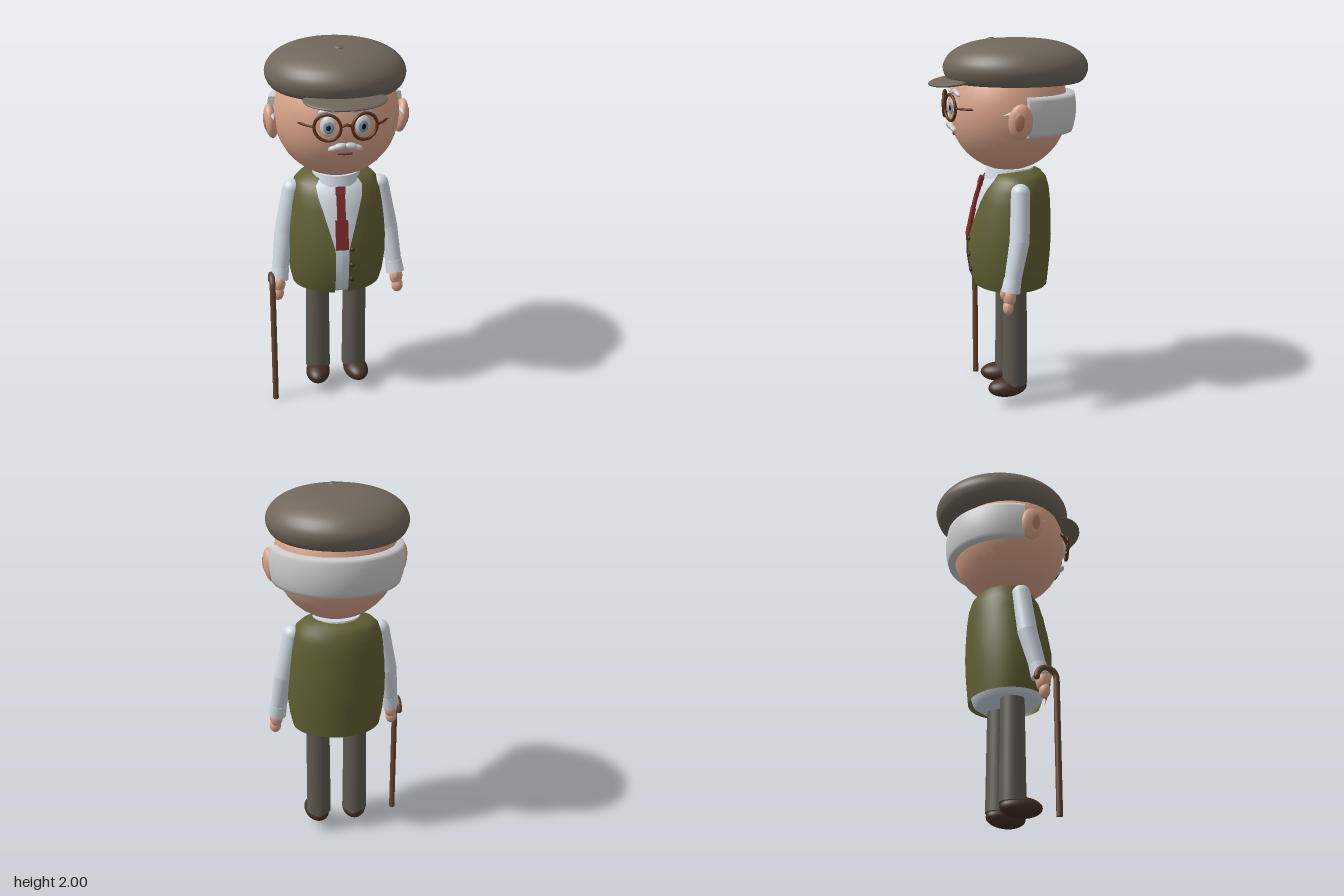
import * as THREE from 'three';

const V = (x, y, z) => new THREE.Vector3(x, y, z);
const mat = (color, side = THREE.FrontSide) =>
  new THREE.MeshStandardMaterial({ color, side });

const skin = mat(0xd9a38a), skinDark = mat(0xb97f68), capCloth = mat(0x70665a);
const hairGrey = mat(0xbcbcbc, THREE.DoubleSide), shirtWhite = mat(0xcfd8e2);
const vestGreen = mat(0x615f33, THREE.DoubleSide), trouserGrey = mat(0x5d594f);
const leather = mat(0x412e23), wood = mat(0x65452f), tieRed = mat(0x7c2b28);
const frameBrown = mat(0x5a3118), eyeWhite = mat(0xf0f0f0), irisBlue = mat(0x8799a8);
const black = mat(0x151515), mouthBrown = mat(0x6e3a2c);

// torso sections: y, half width, front z, back z, half width of the vest opening
const TORSO = [
  [0.685, 0.24, 0.19, -0.21, 0.035],
  [0.75, 0.255, 0.213, -0.216, 0.035],
  [0.85, 0.267, 0.227, -0.225, 0.035],
  [0.95, 0.268, 0.227, -0.23, 0.037],
  [1.05, 0.262, 0.208, -0.228, 0.065],
  [1.15, 0.251, 0.185, -0.223, 0.094],
  [1.22, 0.24, 0.163, -0.215, 0.115],
  [1.27, 0.22, 0.13, -0.2, 0.122],
  [1.3, 0.19, 0.095, -0.175, 0.1],
  [1.315, 0.12, 0.06, -0.13, 0.08],
];

export function createModel() {
  const model = new THREE.Group();

  const add = (name, geometry, material, pos = [0, 0, 0], rot = [0, 0, 0], scale = [1, 1, 1]) => {
    const m = new THREE.Mesh(geometry, material);
    m.name = name;
    m.position.set(...pos);
    m.rotation.set(...rot);
    m.scale.set(...scale);
    model.add(m);
    return m;
  };
  const ball = new THREE.SphereGeometry(1, 32, 20);
  const blob = (name, material, pos, radii, rot) => add(name, ball, material, pos, rot, radii);
  const tube = (name, material, points, r) =>
    add(name, new THREE.TubeGeometry(new THREE.CatmullRomCurve3(points), 24, r, 10), material);
  // tapered round limb between two points
  const limb = (name, material, a, b, ra, rb) => {
    const m = add(name, new THREE.CylinderGeometry(rb, ra, a.distanceTo(b), 24), material);
    m.position.copy(a).lerp(b, 0.5);
    m.quaternion.setFromUnitVectors(V(0, 1, 0), b.clone().sub(a).normalize());
  };

  // head and cap
  blob('head', skin, [0, 1.637, 0], [0.325, 0.33, 0.315]);
  const capProfile = [[0, 1.77], [0.26, 1.77], [0.325, 1.772], [0.352, 1.79], [0.367, 1.82], [0.372, 1.85],
    [0.362, 1.885], [0.33, 1.925], [0.27, 1.96], [0.19, 1.983], [0.1, 1.993], [0, 1.996]];
  const capCurve = new THREE.SplineCurve(capProfile.map(p => new THREE.Vector2(...p)));
  const capPoints = capCurve.getPoints(44).map(p => p.setX(Math.max(0, p.x)));
  add('cap', new THREE.LatheGeometry(capPoints, 56), capCloth, [0, 0, -0.04], [0, 0, 0], [0.975, 1, 1.02]);
  blob('capBrim', capCloth, [0, 1.782, 0.29], [0.208, 0.02, 0.13], [0.14, 0, 0]);
  blob('capButton', capCloth, [0, 1.989, 0.09], [0.024, 0.011, 0.024]);

  // band of hair round the back of the head, with flat ends
  const band = [];
  for (let i = 0; i <= 10; i++) {
    const y = -0.115 + 0.2 * i / 10;
    band.push(new THREE.Vector2(Math.sqrt(0.357 ** 2 - y * y), y));
  }
  band.push(new THREE.Vector2(0.3, 0.085));
  const start = Math.PI * 0.53, length = Math.PI * 0.94;
  add('hairBand', new THREE.LatheGeometry([new THREE.Vector2(0.3, -0.115), ...band], 40, start, length),
    hairGrey, [0, 1.637, 0]);
  const endShape = new THREE.Shape([new THREE.Vector2(0.3, -0.115), ...band]);
  for (const a of [start, start + length])
    add('hairEnd', new THREE.ShapeGeometry(endShape), hairGrey, [0, 1.637, 0], [0, a - Math.PI / 2, 0]);

  // shirt and vest from the torso sections
  const loft = (rows, open) => {
    const n = 48, pos = [], index = [];
    rows.forEach(([y, rx, zf, zb, w], r) => {
      const gap = open ? Math.asin(w / rx) : 0;
      for (let i = 0; i <= n; i++) {
        const a = gap + (2 * Math.PI - 2 * gap) * i / n;
        pos.push(rx * Math.sin(a), y, (zf + zb) / 2 + (zf - zb) / 2 * Math.cos(a));
        if (r && i < n) {
          const p = (r - 1) * (n + 1) + i, q = p + n + 1;
          index.push(p, p + 1, q, p + 1, q + 1, q);
        }
      }
    });
    const g = new THREE.BufferGeometry();
    g.setAttribute('position', new THREE.Float32BufferAttribute(pos, 3));
    g.setIndex(index);
    g.computeVertexNormals();
    return g;
  };
  const shirtRows = TORSO.map(([y, rx, zf, zb]) => [y, rx * 0.94, zf - 0.012, zb + 0.012]);
  shirtRows[0] = [0.69, 0.21, 0.165, -0.185];
  add('shirt', loft([[0.668, 0.001, 0, -0.001], [0.67, 0.18, 0.14, -0.16], ...shirtRows], false), shirtWhite);
  add('vest', loft(TORSO, true), vestGreen);
  add('collar', new THREE.CylinderGeometry(0.125, 0.137, 0.055, 40), shirtWhite, [0, 1.295, -0.01]);
  [0.95, 0.86, 0.775].forEach((y, i) =>
    blob('vestButton', leather, [0.052, y, [0.224, 0.225, 0.216][i]], [0.013, 0.013, 0.01]));

  // tie: knot and two straight lengths lying on the shirt
  const tieStrip = (name, y0, z0, y1, z1, width) => add(name,
    new THREE.BoxGeometry(width, Math.hypot(y1 - y0, z1 - z0), 0.018), tieRed,
    [0, (y0 + y1) / 2, (z0 + z1) / 2], [Math.atan2(z0 - z1, y0 - y1) * -1 + 0, 0, 0])
    .rotation.set(-Math.atan2(z1 - z0, y0 - y1), 0, 0);
  tieStrip('tieKnot', 1.275, 0.14, 1.235, 0.156, 0.05);
  tieStrip('tieUpper', 1.25, 0.148, 1.09, 0.192, 0.044);
  tieStrip('tieLower', 1.105, 0.188, 0.95, 0.222, 0.066);

  // mirrored parts
  for (const s of [-1, 1]) {
    blob('ear', skin, [s * 0.34, 1.605, 0.008], [0.036, 0.09, 0.063], [0, 0, -s * 0.12]);
    blob('innerEar', skinDark, [s * 0.369, 1.605, 0.018], [0.01, 0.045, 0.028], [0, 0, -s * 0.12]);
    add('sideburn', new THREE.ConeGeometry(0.027, 0.1, 16), hairGrey,
      [s * 0.333, 1.645, 0.05], [Math.PI / 2 + 0.15, 0, 0], [1.1, 1, 1]);

    // face
    blob('eyeball', eyeWhite, [s * 0.085, 1.653, 0.297], [0.041, 0.051, 0.022], [0, s * 0.25, 0]);
    blob('iris', irisBlue, [s * 0.086, 1.653, 0.314], [0.026, 0.031, 0.008], [0, s * 0.25, 0]);
    blob('pupil', black, [s * 0.087, 1.653, 0.32], [0.012, 0.015, 0.005], [0, s * 0.25, 0]);
    add('glassesRim', new THREE.TorusGeometry(0.066, 0.008, 10, 40), frameBrown,
      [s * 0.092, 1.655, 0.322], [0, s * 0.27, 0]);
    tube('glassesArm', frameBrown, [V(s * 0.155, 1.657, 0.303), V(s * 0.19, 1.657, 0.27), V(s * 0.222, 1.657, 0.22)], 0.006);
    blob('browInner', hairGrey, [s * 0.062, 1.733, 0.294], [0.032, 0.013, 0.015], [0, s * 0.2, s * 0.3]);
    blob('browOuter', hairGrey, [s * 0.103, 1.727, 0.285], [0.033, 0.013, 0.015], [0, s * 0.35, -s * 0.35]);
    blob('moustacheInner', hairGrey, [s * 0.028, 1.552, 0.307], [0.033, 0.018, 0.02], [0, s * 0.1, -s * 0.2]);
    blob('moustacheOuter', hairGrey, [s * 0.06, 1.541, 0.3], [0.028, 0.015, 0.017], [0, s * 0.2, -s * 0.3]);

    // arm with cuff and hand
    const shoulder = V(s * 0.237, 1.222, -0.015), elbow = V(s * 0.285, 0.98, 0), wrist = V(s * 0.32, 0.735, 0.052);
    blob('shoulder', shirtWhite, shoulder.toArray(), [0.05, 0.05, 0.05]);
    blob('elbow', shirtWhite, elbow.toArray(), [0.052, 0.052, 0.052]);
    limb('upperArm', shirtWhite, shoulder, elbow, 0.05, 0.052);
    limb('forearm', shirtWhite, elbow, wrist, 0.052, 0.042);
    limb('cuff', shirtWhite, V(s * 0.312, 0.79, 0.041), V(s * 0.322, 0.722, 0.055), 0.046, 0.05);
    blob('palm', skin, [s * 0.326, 0.695, 0.062], [0.036, 0.05, 0.034]);
    blob('fingers', skin, [s * 0.332, 0.643, 0.07], [0.032, 0.04, 0.028]);
    blob('thumb', skin, [s * 0.32, 0.715, 0.09], [0.021, 0.034, 0.02]);

    // leg and shoe
    add('leg', new THREE.CylinderGeometry(0.063, 0.069, 0.58, 32), trouserGrey, [s * 0.104, 0.41, -0.016]);
    blob('shoe', leather, [s * 0.11, 0.098, 0.026], [0.068, 0.053, 0.11], [0, s * 0.12, 0]);
  }
  tube('glassesBridge', frameBrown, [V(-0.03, 1.66, 0.337), V(0, 1.672, 0.343), V(0.03, 1.66, 0.337)], 0.007);
  tube('mouth', mouthBrown, [V(-0.036, 1.508, 0.287), V(0, 1.506, 0.291), V(0.036, 1.508, 0.287)], 0.006);

  // walking cane with a hooked handle in the right hand
  add('caneShaft', new THREE.CylinderGeometry(0.016, 0.016, 0.7, 20), wood, [-0.365, 0.35, 0.122]);
  add('caneHook', new THREE.TorusGeometry(0.053, 0.016, 14, 28, Math.PI), wood,
    [-0.365, 0.7, 0.069], [0, -Math.PI / 2, 0]);
  blob('caneTip', wood, [-0.365, 0.7, 0.016], [0.016, 0.016, 0.016]);
  return model;
}
